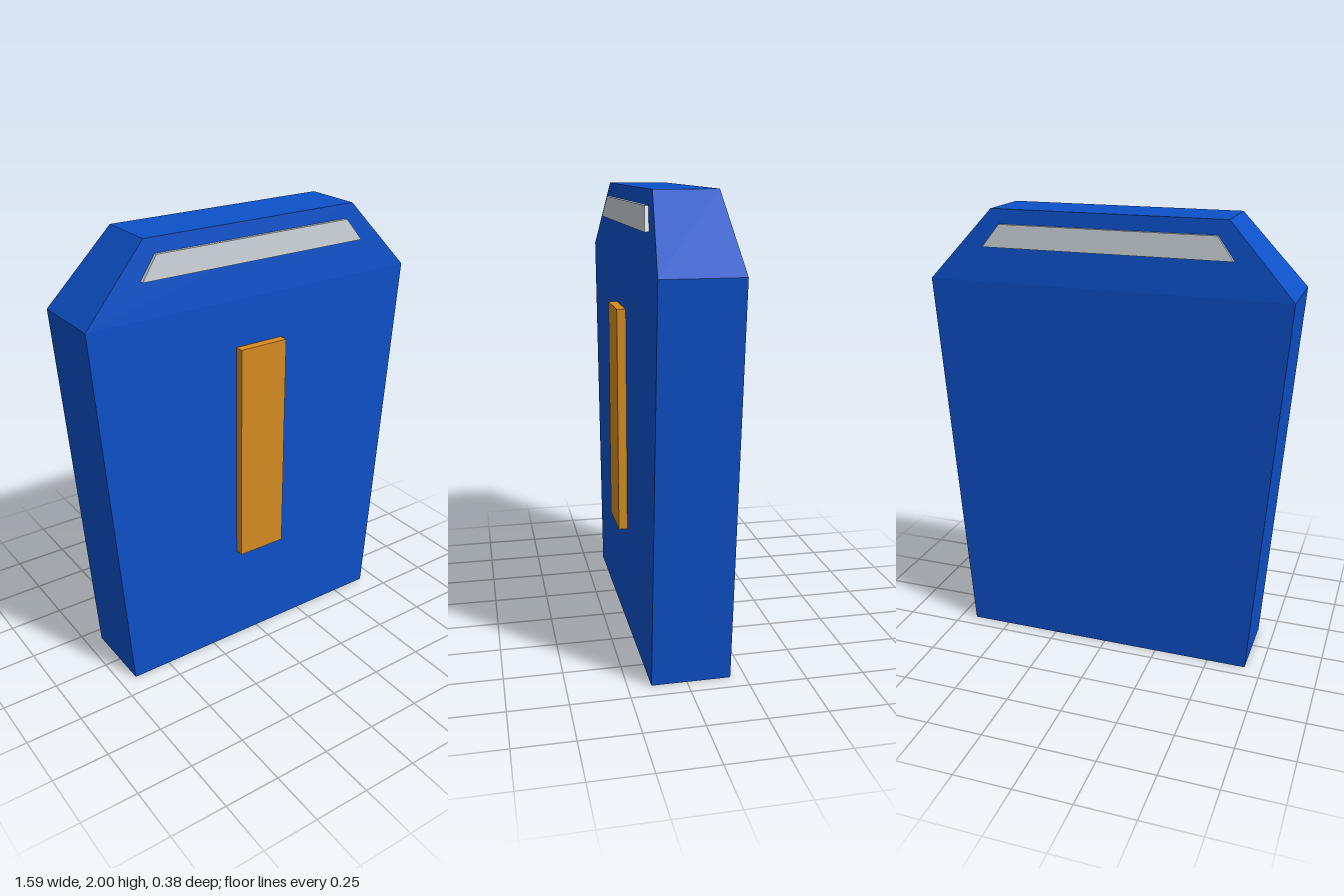
import * as THREE from 'three';

const material = (name, color) => {
  const m = new THREE.MeshStandardMaterial({ color });
  m.name = name;
  return m;
};

// Flat-faced solid through rectangular levels: [y, half width, back z, front z]
function loft(levels) {
  const rings = levels.map(([y, hx, zb, zf]) => [[-hx, y, zf], [hx, y, zf], [hx, y, zb], [-hx, y, zb]]);
  const pos = [];
  const quad = (a, b, c, d) => pos.push(...a, ...b, ...c, ...a, ...c, ...d);
  for (let k = 0; k < rings.length - 1; k++) {
    for (let i = 0; i < 4; i++) {
      const j = (i + 1) % 4;
      quad(rings[k][i], rings[k][j], rings[k + 1][j], rings[k + 1][i]);
    }
  }
  quad(...rings[rings.length - 1]);
  quad(...[...rings[0]].reverse());
  const g = new THREE.BufferGeometry();
  g.setAttribute('position', new THREE.Float32BufferAttribute(pos, 3));
  g.computeVertexNormals();
  return g;
}

export function createModel() {
  const group = new THREE.Group();
  group.name = 'taperedPanel';
  const blue = material('blue', 0x0d50c8);
  const orange = material('orange', 0xd68c20);
  const silver = material('silver', 0xc6ccd2);
  const add = (name, geometry, mat, z = 0) => {
    const mesh = new THREE.Mesh(geometry, mat);
    mesh.name = name;
    mesh.position.z = z;
    group.add(mesh);
    return mesh;
  };

  // Body widens to the shoulders, then narrows to the top
  const midZ = -0.018;
  add('body', loft([
    [0, 0.675, -0.187, 0.151],
    [1.693, 0.797, -0.187, 0.151],
    [2, 0.515, -0.15, 0.114],
  ]), blue);

  // Raised bar on the front
  add('frontBar', new THREE.BoxGeometry(0.23, 1.01, 0.05), orange, 0.165).position.y = 0.98;

  // Matching strips on the sloped front and back faces
  const strip = loft([[1.842, 0.545, 0.14, 0.169], [1.938, 0.472, 0.13, 0.154]]);
  add('frontStrip', strip, silver, midZ);
  add('backStrip', strip, silver, midZ).rotation.y = Math.PI;

  return group;
}
